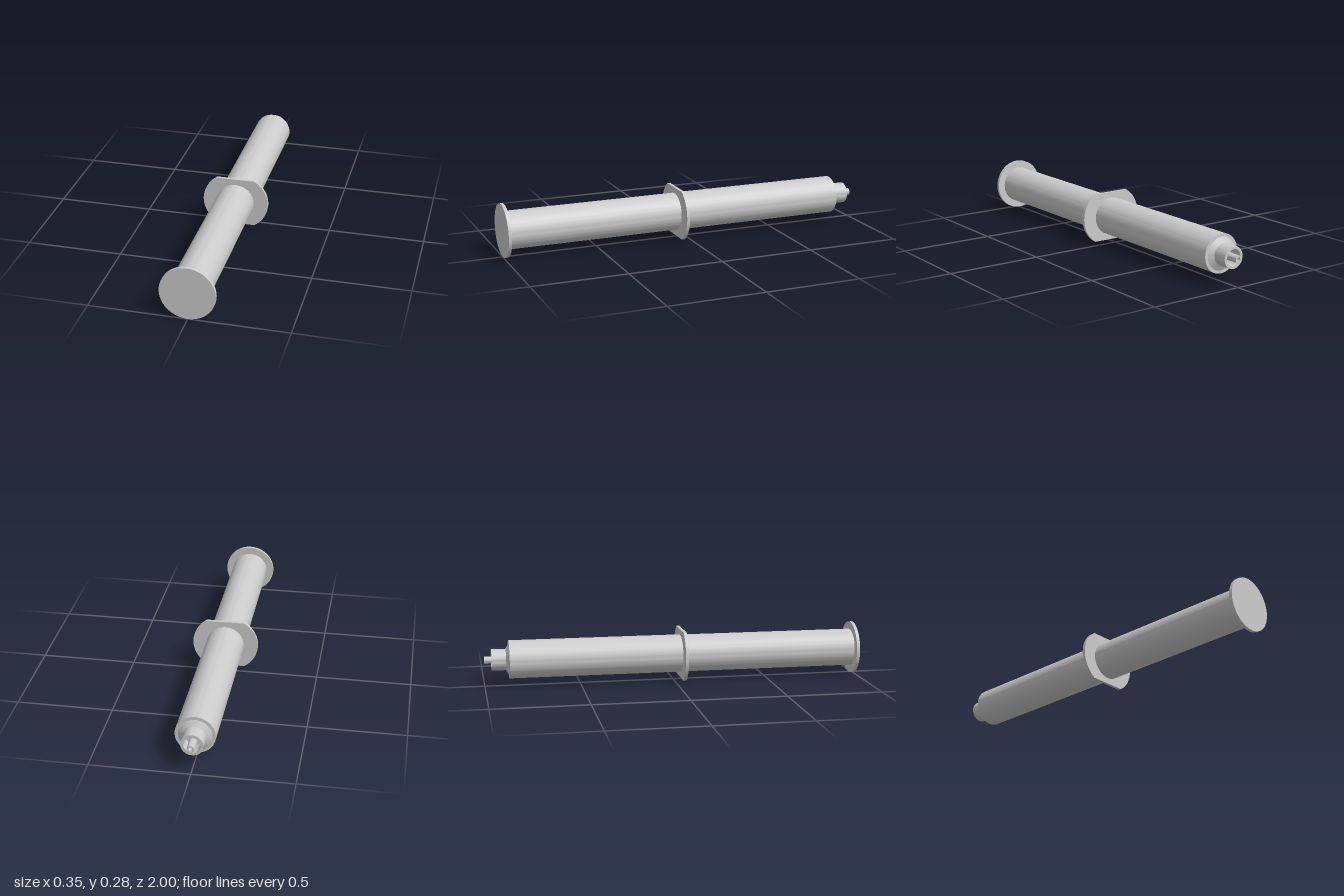
import * as THREE from 'three';
import { toCreasedNormals } from 'three/addons/utils/BufferGeometryUtils.js';

const AXIS_Y = 0.139;

export function createModel() {
  const group = new THREE.Group();
  const material = new THREE.MeshStandardMaterial({ color: 0xcccccc });

  const add = (name, geometry) => {
    const mesh = new THREE.Mesh(toCreasedNormals(geometry, 0.4), material);
    mesh.name = name;
    mesh.position.y = AXIS_Y;
    group.add(mesh);
  };

  // Turned part along z: profile of [radius, z], running from front to back
  const turned = (name, profile) => {
    const points = profile.map(([r, z]) => new THREE.Vector2(r, -z));
    add(name, new THREE.LatheGeometry(points, 72).rotateX(-Math.PI / 2));
  };

  // Plunger: round thumb rest and the rod behind it
  turned('thumbRest', [[0, 1], [0.139, 1], [0.139, 0.983], [0, 0.983]]);
  turned('plungerRod', [[0, 0.985], [0.099, 0.985], [0.099, 0.045], [0, 0.045]]);

  // Barrel with a stepped, conical shoulder
  turned('barrel', [
    [0, 0.05], [0.1, 0.05], [0.1, -0.872], [0.084, -0.872], [0.056, -0.888], [0, -0.888],
  ]);

  // Hollow locking collar around the nozzle
  turned('collar', [
    [0.056, -0.885], [0.056, -0.963], [0.042, -0.963], [0.042, -0.892], [0, -0.892],
  ]);

  // Nozzle with a narrow bore
  turned('nozzle', [
    [0.019, -0.89], [0.019, -1], [0.01, -1], [0.01, -0.9], [0, -0.9],
  ]);

  // Finger flange: two side arcs joined by flat top and bottom edges
  const offset = 0.023, radius = 0.152, half = 0.13;
  const angle = Math.asin(half / radius);
  const shape = new THREE.Shape();
  shape.absarc(offset, 0, radius, -angle, angle, false);
  shape.absarc(-offset, 0, radius, Math.PI - angle, Math.PI + angle, false);
  shape.closePath();
  const flange = new THREE.ExtrudeGeometry(shape, { depth: 0.016, bevelEnabled: false, curveSegments: 32 });
  add('fingerFlange', flange.translate(0, 0, 0.039));

  return group;
}
